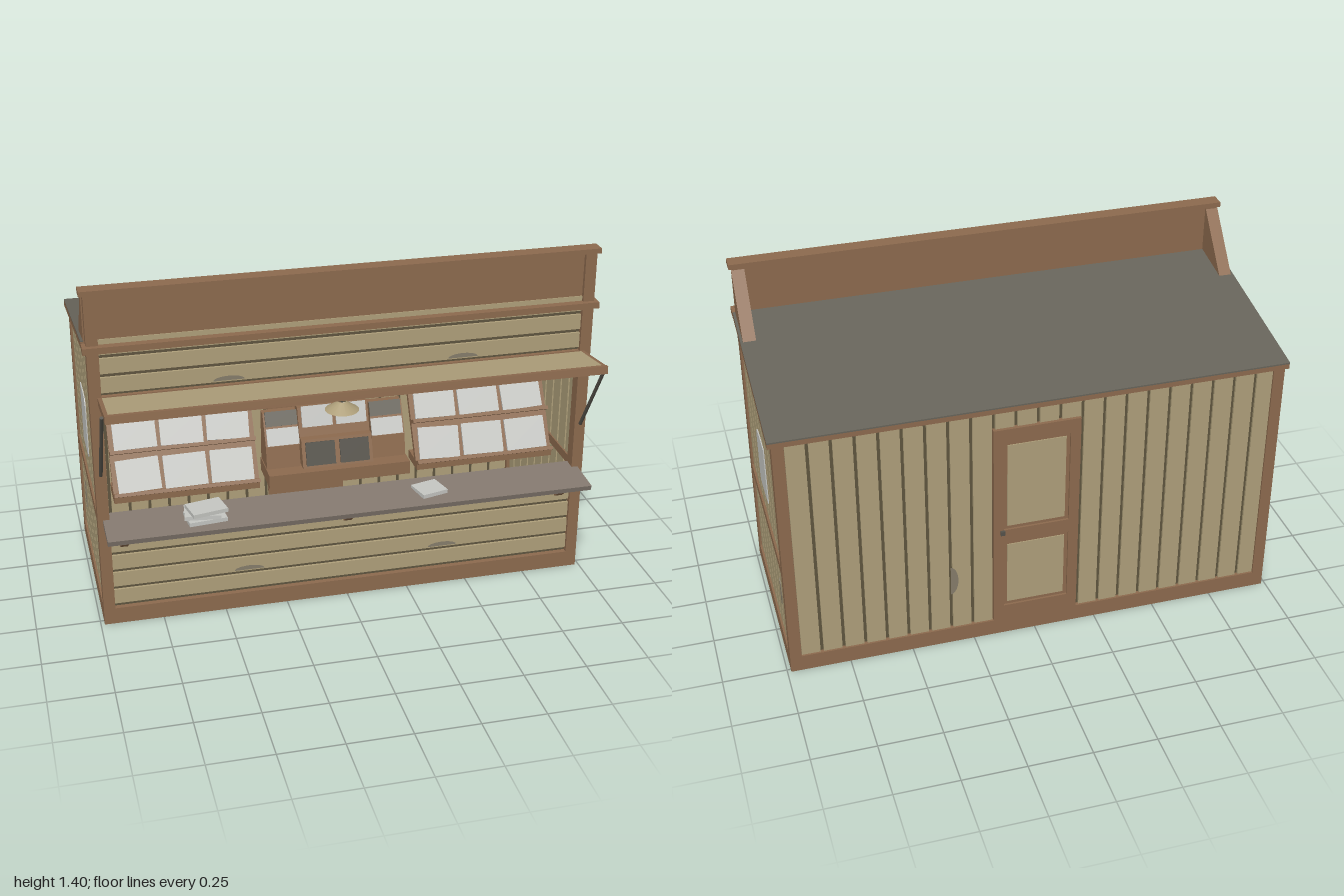
import * as THREE from 'three';

const mat = (name, color) => {
  const m = new THREE.MeshStandardMaterial({ color });
  m.name = name;
  return m;
};

export function createModel() {
  const root = new THREE.Group();
  root.name = 'marketKiosk';
  const brown = mat('brown timber', 0x8c6a4e);
  const tan = mat('tan boards', 0xae9f7a);
  const gap = mat('dark board gaps', 0x5f553f);
  const roofGrey = mat('roof grey', 0x67645a);
  const counterGrey = mat('counter grey brown', 0x857a70);
  const paper = mat('paper', 0xc5c6c2);
  const iron = mat('dark iron', 0x55524a);
  const stainGrey = mat('stain', 0x857c6a);

  // Box given by its minimum and maximum on each axis
  const box = (name, m, x0, x1, y0, y1, z0, z1, parent = root) => {
    const mesh = new THREE.Mesh(new THREE.BoxGeometry(x1 - x0, y1 - y0, z1 - z0), m);
    mesh.position.set((x0 + x1) / 2, (y0 + y1) / 2, (z0 + z1) / 2);
    mesh.name = name;
    parent.add(mesh);
    return mesh;
  };
  // Side profile of [z, y] points, extruded from x0 to x1
  const prism = (name, m, pts, x0, x1) => {
    const shape = new THREE.Shape(pts.map(p => new THREE.Vector2(p[0], p[1])));
    const geo = new THREE.ExtrudeGeometry(shape, { depth: x1 - x0, bevelEnabled: false });
    geo.rotateY(-Math.PI / 2);
    const mesh = new THREE.Mesh(geo, m);
    mesh.position.x = x1;
    mesh.name = name;
    root.add(mesh);
    return mesh;
  };
  const mirrored = (s, a, b) => (s > 0 ? [a, b] : [-b, -a]);
  // Rod between two points
  const rod = (name, m, a, b, r) => {
    const d = b.clone().sub(a);
    const mesh = new THREE.Mesh(new THREE.CylinderGeometry(r, r, d.length(), 8), m);
    mesh.position.copy(a).add(b).multiplyScalar(0.5);
    mesh.quaternion.setFromUnitVectors(new THREE.Vector3(0, 1, 0), d.normalize());
    mesh.name = name;
    root.add(mesh);
  };
  const slope = 0.158;
  const under = z => 1.165 - (0.24 - z) * slope;

  // Floor and base trim
  box('floor', brown, -0.98, 0.98, 0, 0.03, -0.51, 0.275);
  box('frontBase', brown, -0.985, 0.985, 0, 0.068, 0.24, 0.28);
  box('backBase', brown, -0.985, 0.985, 0, 0.068, -0.515, -0.47);

  // Side walls: dark core, vertical boards, frame, poster and stain
  for (const s of [1, -1]) {
    const wall = (name, m, pts, a, b) => prism(name, m, pts, ...mirrored(s, a, b));
    const strip = (z0, z1, y0) => [[z0, y0], [z1, y0], [z1, under(z1)], [z0, under(z0)]];
    wall('sideWallCore', gap, strip(-0.48, 0.24, 0.05), 0.962, 0.97);
    for (let i = 0; i < 9; i++) {
      const z0 = Math.max(-0.48, 0.166 - i * 0.0815 + 0.0), z1 = Math.min(0.24, 0.166 - (i - 1) * 0.0815 - 0.013);
      wall('sideBoard', tan, strip(z0, z1, 0.05), 0.955, 0.977);
    }
    const [x0, x1] = mirrored(s, 0.94, 0.985);
    box('frontPost', brown, x0, x1, 0, 1.38, 0.23, 0.28);
    box('backPost', brown, x0, x1, 0, under(-0.515) + 0.005, -0.515, -0.468);
    box('sideBase', brown, x0, x1, 0, 0.068, -0.47, 0.24);
    box('sideRail', brown, ...mirrored(s, 0.95, 0.985), 0.445, 0.482, -0.47, 0.24);
    wall('poster', paper, [[-0.21, 0.59], [-0.125, 0.586], [-0.035, 0.586], [-0.028, 0.6], [-0.03, 0.81],
      [-0.05, 0.832], [-0.12, 0.838], [-0.205, 0.835]], 0.977, 0.981);
    wall('sideStain', stainGrey, [[-0.335, 0.2], [-0.355, 0.21], [-0.368, 0.26], [-0.355, 0.31], [-0.335, 0.325]], 0.976, 0.979);
    // Brace behind the parapet
    wall('parapetBrace', brown, [[0.235, 1.38], [0.045, 1.16], [0.235, 1.18]], 0.94, 0.99);
  }

  // Back wall of vertical boards, seen from both faces
  box('backWallCore', gap, -0.95, 0.95, 0.05, 1.05, -0.498, -0.49);
  const pitch = 0.0864;
  for (let i = 0; i < 22; i++) {
    const x = -0.95 + i * pitch;
    box('backBoard', tan, x, x + pitch - 0.013, 0.05, 1.055, -0.507, -0.482);
  }
  const backStain = new THREE.Shape();
  backStain.absellipse(0, 0, 0.03, 0.065, -Math.PI / 2, Math.PI / 2);
  const bs = new THREE.Mesh(new THREE.ShapeGeometry(backStain, 6), stainGrey);
  bs.rotation.y = Math.PI;
  bs.position.set(0.34, 0.3, -0.509);
  bs.name = 'backStain';
  root.add(bs);

  // Back door with two panels and a knob
  box('doorSlab', brown, -0.17, 0.17, 0.07, 0.97, -0.511, -0.47);
  for (const s of [1, -1]) box('doorStile', brown, ...mirrored(s, 0.13, 0.17), 0.07, 0.97, -0.52, -0.51);
  for (const [a, b] of [[0.07, 0.14], [0.45, 0.51], [0.91, 0.97]]) box('doorRail', brown, -0.13, 0.13, a, b, -0.52, -0.51);
  for (const [a, b] of [[0.14, 0.45], [0.51, 0.91]]) box('doorPanel', tan, -0.115, 0.115, a + 0.015, b - 0.015, -0.515, -0.51);
  box('doorKnob', iron, 0.126, 0.144, 0.492, 0.51, -0.53, -0.52);

  // Front walls of horizontal planks below and above the opening
  const planks = (y0, n) => {
    box('frontWallCore', gap, -0.945, 0.945, y0, y0 + n * 0.0765, 0.25, 0.258);
    for (let i = 0; i < n; i++) {
      const y = y0 + i * 0.0765 + 0.015;
      box('frontPlank', tan, -0.945, 0.945, y, y + 0.0615, 0.242, 0.268);
    }
  };
  planks(0.068, 5);
  planks(0.975, 3);
  box('header', brown, -0.945, 0.945, 0.935, 0.978, 0.235, 0.275);
  for (const [x, y] of [[-0.4, 0.165], [0.4, 0.165], [-0.46, 0.995], [0.46, 0.995]]) {
    const shape = new THREE.Shape();
    shape.absellipse(0, 0, 0.06, 0.018, 0, Math.PI);
    const m = new THREE.Mesh(new THREE.ShapeGeometry(shape, 6), stainGrey);
    m.position.set(x, y, 0.27);
    m.name = 'frontStain';
    root.add(m);
  }

  // Roof, parapet and mouldings
  const roofLine = (z, h) => [z, under(z) + h];
  prism('roof', brown, [roofLine(-0.52, 0), roofLine(0.24, 0), roofLine(0.24, 0.024), roofLine(-0.52, 0.024)], -1, 1);
  prism('roofCovering', roofGrey, [roofLine(-0.522, 0.022), roofLine(0.235, 0.022), roofLine(0.235, 0.028), roofLine(-0.522, 0.028)], -1, 1);
  box('parapet', brown, -0.945, 0.945, 1.16, 1.385, 0.236, 0.264);
  box('parapetCap', brown, -1, 1, 1.38, 1.4, 0.225, 0.285);
  box('cornice', brown, -1, 1, 1.16, 1.185, 0.245, 0.3);

  // Lifted awning shutter with its stays
  const awning = new THREE.Group();
  awning.name = 'awning';
  awning.position.set(0, 0.968, 0.285);
  awning.rotation.x = -0.13;
  root.add(awning);
  box('awningPanel', tan, -0.94, 0.94, -0.007, 0.013, 0.01, 0.235, awning);
  box('awningFrontRail', brown, -0.955, 0.955, -0.016, 0.015, 0.225, 0.245, awning);
  box('awningBackRail', brown, -0.955, 0.955, -0.016, 0.011, 0, 0.02, awning);
  for (const s of [1, -1]) {
    box('awningEndRail', brown, ...mirrored(s, 0.935, 0.955), -0.016, 0.012, 0, 0.24, awning);
    rod('awningStay', iron, new THREE.Vector3(s * 0.962, 0.995, 0.49), new THREE.Vector3(s * 0.962, 0.66, 0.285), 0.007);
  }

  // Serving counter on triangular brackets
  prism('counter', counterGrey, [[0.23, 0.445], [0.43, 0.433], [0.437, 0.455], [0.23, 0.468]], -0.965, 0.965);
  for (const x of [-0.89, 0, 0.89])
    prism('counterBracket', brown, [[0.27, 0.335], [0.28, 0.34], [0.4, 0.438], [0.27, 0.445]], x - 0.015, x + 0.015);

  // Two leaning display racks, each with two rows of papers
  for (const s of [1, -1]) {
    const rack = new THREE.Group();
    rack.name = 'displayRack';
    rack.position.set(s * 0.615, 0.475, 0.13);
    rack.rotation.x = -0.51;
    root.add(rack);
    box('rackBoard', brown, -0.29, 0.29, 0, 0.35, -0.02, 0, rack);
    for (const y of [0.0, 0.168]) {
      box('rackLedge', brown, -0.29, 0.29, y, y + 0.014, 0, 0.035, rack);
      for (let i = -1; i <= 1; i++) {
        const sheet = box('paperSheet', paper, i * 0.186 - 0.085, i * 0.186 + 0.085, y + 0.016, y + 0.146, 0.002, 0.011, rack);
        sheet.rotation.z = 0.025 * (i + (y ? 0.5 : -0.5)) * s;
      }
    }
    box('rackFoot', brown, s * 0.615 - 0.29, s * 0.615 + 0.29, 0.455, 0.49, 0.02, 0.14);
  }

  // Stepped centre stand with card pockets
  box('standBase', brown, -0.29, 0.29, 0.455, 0.51, -0.02, 0.16);
  prism('standStep', brown, [[-0.02, 0.5], [0.13, 0.5], [0.09, 0.62], [0.06, 0.62], [0.02, 0.73], [-0.02, 0.73]], -0.145, 0.145);
  for (const s of [1, -1]) {
    prism('sidePocket', brown, [[-0.02, 0.5], [0.1, 0.5], [0.08, 0.6], [0.02, 0.72], [-0.02, 0.72]], ...mirrored(s, 0.15, 0.287));
    const cards = [
      [0.07, 0.565, 0.111, 0.12, 0.095, -0.32, iron],
      [0.07, 0.7, 0.043, 0.125, 0.085, -0.35, paper],
      [0.215, 0.635, 0.068, 0.13, 0.07, -0.46, paper],
      [0.215, 0.7, 0.034, 0.13, 0.06, -0.46, roofGrey],
    ];
    for (const [x, y, z, w, h, tilt, m] of cards) {
      const card = box('card', m, -w / 2, w / 2, -h / 2, h / 2, -0.004, 0.004);
      card.position.set(s * x, y, z);
      card.rotation.x = tilt;
    }
  }

  // Hanging lamp
  rod('lampCord', iron, new THREE.Vector3(0, 0.81, 0.18), new THREE.Vector3(0, 1.155, 0.18), 0.004);
  const tanDouble = mat('tan lampshade', 0xae9f7a);
  tanDouble.side = THREE.DoubleSide;
  const shade = new THREE.Mesh(new THREE.CylinderGeometry(0.015, 0.068, 0.035, 16, 1, true), tanDouble);
  shade.position.set(0, 0.8, 0.18);
  shade.name = 'lampShade';
  const bulb = new THREE.Mesh(new THREE.SphereGeometry(0.02, 12, 8), paper);
  bulb.position.set(0, 0.782, 0.18);
  bulb.name = 'lampBulb';
  root.add(shade, bulb);

  // Loose papers on the counter
  [[-0.58, 0.468, 0.345, 0.15, 0.1], [-0.59, 0.486, 0.34, 0.14, -0.12], [-0.575, 0.504, 0.345, 0.14, 0.2], [0.32, 0.467, 0.33, 0.11, 0.25]]
    .forEach(([x, y, z, w, turn]) => {
      const b = box('paperBundle', paper, -w / 2, w / 2, -0.008, 0.008, -0.05, 0.05);
      b.position.set(x, y, z);
      b.rotation.y = turn;
    });

  return root;
}
